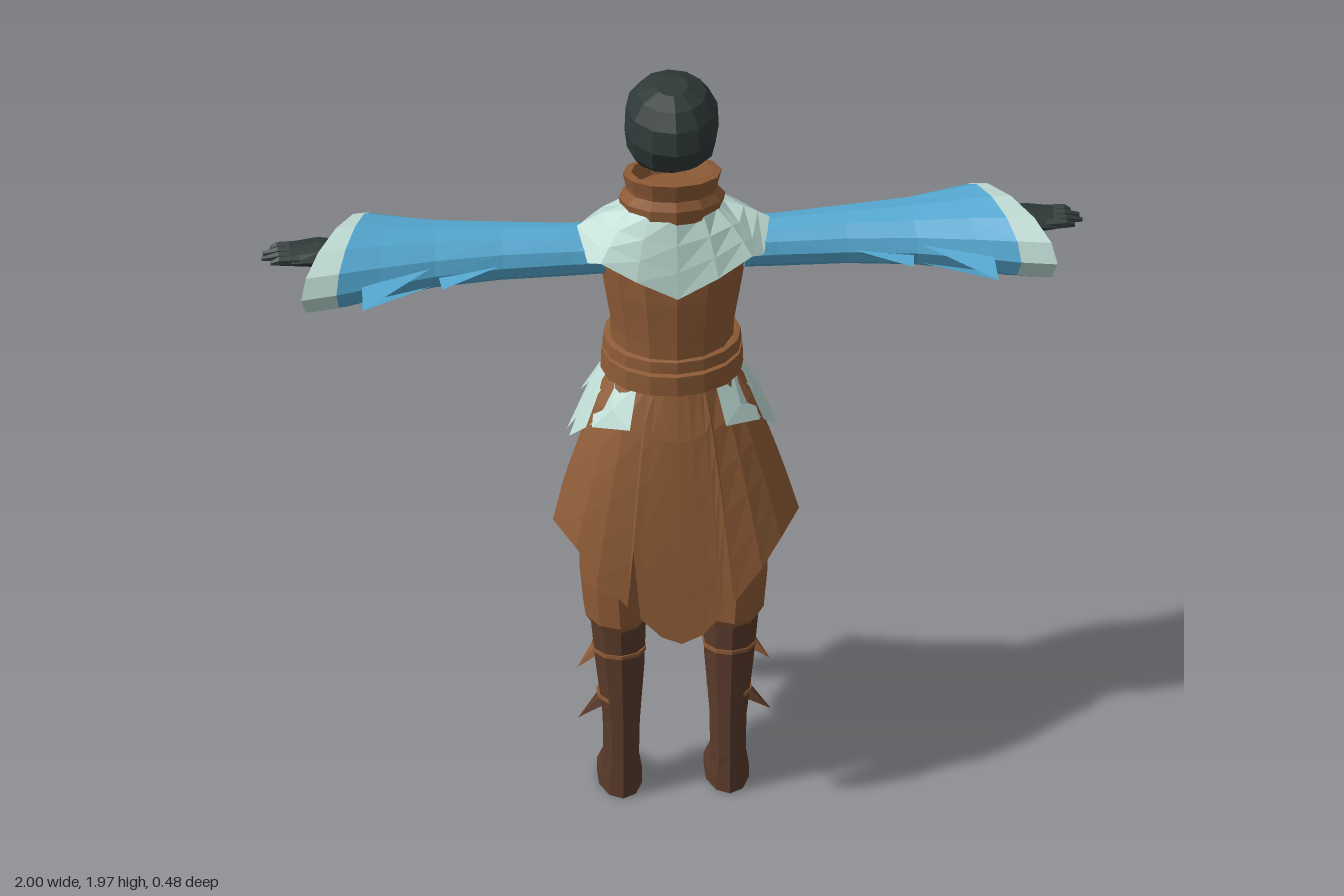
import * as THREE from 'three';

const mat = (name, color) => {
  const m = new THREE.MeshStandardMaterial({ color, flatShading: true, side: THREE.DoubleSide });
  m.name = name;
  return m;
};

export function createModel() {
  const brown = mat('brown cloth', 0x8f5c37);
  const blue = mat('blue cloth', 0x55a9d2);
  const pale = mat('pale cloth', 0xbedbd3);
  const dark = mat('dark hood', 0x2f3a38);
  const leather = mat('dark leather', 0x5a3b2b);
  const model = new THREE.Group();

  const add = (name, geo, material, parent = model) => {
    const m = new THREE.Mesh(geo, material);
    m.name = name;
    parent.add(m);
    return m;
  };

  // Surface through rows of [x, y, z] points
  function grid(rows, closed = false, caps = false) {
    const n = rows[0].length, pos = rows.flat(2), idx = [];
    for (let i = 0; i < rows.length - 1; i++) {
      for (let j = 0; j < (closed ? n : n - 1); j++) {
        const k = (j + 1) % n, a = i * n + j, b = i * n + k;
        idx.push(a, b, b + n, a, b + n, a + n);
      }
    }
    if (caps) {
      const t = (rows.length - 1) * n;
      for (let j = 1; j < n - 1; j++) idx.push(0, j + 1, j, t, t + j, t + j + 1);
    }
    const g = new THREE.BufferGeometry();
    g.setAttribute('position', new THREE.Float32BufferAttribute(pos, 3));
    g.setIndex(idx);
    const flat = g.toNonIndexed();
    flat.computeVertexNormals();
    return flat;
  }
  const circle = (n, f) => Array.from({ length: n }, (_, i) => f(Math.sin(i / n * Math.PI * 2), Math.cos(i / n * Math.PI * 2)));
  // Upright loft: sections [y, cx, cz, rx, rz, tilt]
  const loftY = (secs, n = 10, caps = true) => grid(secs.map(([y, cx, cz, rx, rz, tilt = 0]) =>
    circle(n, (s, c) => [cx + s * rx, y + tilt * c * rz, cz + c * rz])), true, caps);
  // Sideways loft: sections [x, cy, cz, ry, rz, shear]
  const loftX = (secs, n = 10, caps = false) => grid(secs.map(([x, cy, cz, ry, rz, shear = 0]) =>
    circle(n, (s, c) => [x + shear * (cz + s * rz), cy + c * ry, cz + s * rz])), true, caps);
  // Flat pointed piece from outline points, fanned from the first
  function plate(pts) {
    const pos = [];
    for (let i = 1; i < pts.length - 1; i++) pos.push(...pts[0], ...pts[i], ...pts[i + 1]);
    const g = new THREE.BufferGeometry();
    g.setAttribute('position', new THREE.Float32BufferAttribute(pos, 3));
    g.computeVertexNormals();
    return g;
  }
  // Cloth hanging from an oval ring down to hem points
  function drape(hem, top, closed = false, steps = 5) {
    const rows = [];
    for (let i = 0; i <= steps; i++) {
      const t = 1 - i / steps, h = Math.pow(t, 0.75);
      rows.push(hem.map(([x, y, z]) => {
        const a = Math.atan2(x / top.rx, (z - top.cz) / top.rz);
        const tx = Math.sin(a) * top.rx, tz = top.cz + Math.cos(a) * top.rz;
        const ty = top.y + top.tilt * (tz - top.cz);
        return [tx + (x - tx) * h, ty + (y - ty) * t, tz + (z - tz) * h];
      }));
    }
    return grid(rows, closed);
  }
  const flip = pts => pts.map(([x, y, z]) => [-x, y, z]).reverse();

  // Head and collar
  add('head', loftY([[1.69, 0, -0.13, 0.05, 0.04], [1.72, 0, -0.1, 0.085, 0.08], [1.78, 0, -0.055, 0.108, 0.122],
    [1.84, 0, -0.042, 0.115, 0.14], [1.9, 0, -0.045, 0.112, 0.133], [1.942, 0, -0.04, 0.085, 0.1],
    [1.966, 0, -0.03, 0.04, 0.05]], 12), dark);
  add('collar', loftY([[1.58, 0, -0.035, 0.12, 0.125, 0.15], [1.65, 0, -0.033, 0.13, 0.13, 0.22], [1.672, 0, -0.03, 0.112, 0.115, 0.25],
    [1.68, 0, -0.03, 0.112, 0.118, 0.25], [1.722, 0, -0.025, 0.121, 0.128, 0.27], [1.725, 0, -0.025, 0.1, 0.108, 0.27],
    [1.68, 0, -0.03, 0.085, 0.09, 0.25]], 12), brown);

  // Torso and belt
  add('torso', loftY([[1.0, 0, -0.035, 0.16, 0.13], [1.16, 0, -0.035, 0.15, 0.14], [1.3, 0, -0.035, 0.152, 0.142],
    [1.42, 0, -0.033, 0.172, 0.143], [1.53, 0, -0.03, 0.188, 0.135], [1.58, 0, -0.03, 0.165, 0.11], [1.62, 0, -0.03, 0.11, 0.09]], 14), brown);
  for (const [name, y, h, r] of [['lowerBelt', 1.16, 0.06, 0], ['upperBelt', 1.222, 0.038, -0.004]]) {
    add(name, loftY([[y, 0, -0.035, 0.16, 0.142], [y + 0.003, 0, -0.035, 0.174 + r, 0.153 + r],
      [y + h - 0.003, 0, -0.035, 0.172 + r, 0.153 + r], [y + h, 0, -0.035, 0.155, 0.142]], 16), brown);
  }

  // Shoulder mantle
  const yoke = [[0, 1.45, 0.13], [0.1, 1.5, 0.122], [0.185, 1.54, 0.092], [0.215, 1.53, 0.07], [0.235, 1.595, 0.0],
    [0.225, 1.54, -0.085], [0.15, 1.52, -0.145], [0.095, 1.4, -0.175], [0, 1.4, -0.188]];
  add('mantle', drape([...yoke, ...flip(yoke.slice(1, -1))], { rx: 0.125, rz: 0.122, cz: -0.033, y: 1.635, tilt: 0.2 }, true, 3), pale);

  // Long back panel: [y, z, half width]
  const strip = (secs, dz) => grid(secs.map(([y, z, w]) =>
    [-1, -0.5, 0, 0.5, 1].map(u => [u * w, y, z - dz + 2.6 * (u * w) ** 2])));
  add('backPanel', strip([[1.5, -0.172, 0.1], [1.4, -0.189, 0.092], [1.3, -0.19, 0.08], [1.2, -0.18, 0.072], [1.14, -0.19, 0.078],
    [1.0, -0.207, 0.09], [0.87, -0.222, 0.102], [0.81, -0.23, 0.095], [0.77, -0.237, 0.045]], 0), pale);
  add('backPanelInlay', strip([[1.43, -0.186, 0.04], [1.4, -0.189, 0.05], [1.37, -0.19, 0.038], [1.3, -0.19, 0.046], [1.2, -0.18, 0.044],
    [1.14, -0.19, 0.05], [1.0, -0.207, 0.056], [0.94, -0.213, 0.066], [0.84, -0.226, 0.064], [0.81, -0.23, 0.035]], 0.004), blue);

  // Skirt, long at the front and short at the back
  const waist = { rx: 0.152, rz: 0.145, cz: -0.035, y: 1.18, tilt: 0 };
  const frontHem = [[0.05, 0.55, 0.238], [0.1, 0.6, 0.23], [0.115, 0.78, 0.2], [0.13, 0.62, 0.208], [0.2, 0.7, 0.185],
    [0.25, 0.76, 0.145], [0.3, 0.8, 0.075], [0.27, 0.89, 0.035], [0.225, 1.0, 0.0]];
  add('frontSkirt', drape([...flip(frontHem), [0, 0.53, 0.242], ...frontHem], waist), brown);
  const backHem = [[0.21, 1.0, 0.01], [0.222, 0.94, -0.05], [0.205, 0.88, -0.12], [0.16, 0.84, -0.175], [0.08, 0.83, -0.192]];
  add('backSkirt', drape([...backHem, [0, 0.83, -0.195], ...flip(backHem)], waist), brown);

  for (const side of [1, -1]) {
    const half = new THREE.Group();
    half.name = side > 0 ? 'leftSide' : 'rightSide';
    half.scale.x = side;
    model.add(half);

    // Pointed hip leaves
    const leaves = [[52, 0.205, 1.06, 0.075], [76, 0.255, 1.0, 0.015], [98, 0.255, 0.98, -0.05], [124, 0.215, 1.04, -0.13]];
    for (const [deg, x, y, z] of leaves) {
      const at = (d, r) => {
        const a = (deg + d) * Math.PI / 180;
        return [Math.sin(a) * (0.155 + r), -0.035 + Math.cos(a) * (0.145 + r)];
      };
      const pt = (d, r, py) => { const [px, pz] = at(d, r); return [px, py, pz]; };
      add('hipLeaf', plate([pt(0, 0.045, 1.11), pt(-14, 0, 1.175), pt(-18, 0.055, 1.08), [x, y, z],
        pt(18, 0.055, 1.08), pt(14, 0, 1.175), pt(-14, 0, 1.175)]), pale, half);
    }

    // Sleeve, cuff border and lining
    const cuffIn = [0.775, 1.527, 0.002, 0.096, 0.155, 0.38], cuffOut = [0.82, 1.525, 0.005, 0.098, 0.165, 0.6];
    add('sleeve', loftX([[0.17, 1.52, -0.015, 0.06, 0.075], [0.25, 1.52, -0.012, 0.062, 0.07], [0.42, 1.522, -0.018, 0.066, 0.084],
      [0.58, 1.524, -0.015, 0.073, 0.105, 0.1], [0.7, 1.526, -0.008, 0.085, 0.135, 0.25], cuffIn], 12), blue, half);
    add('cuffBorder', loftX([cuffIn, cuffOut], 12), pale, half);
    add('cuffLining', loftX([[0.68, 1.525, -0.03, 0.025, 0.04], [0.75, 1.525, -0.01, 0.07, 0.11, 0.3], cuffOut], 12), pale, half);
    add('sleeveSpike', plate([[0.6, 1.545, 0.085], [0.775, 1.51, 0.205], [0.77, 1.535, 0.13]]), blue, half);
    add('sleeveSpike', plate([[0.6, 1.49, 0.08], [0.775, 1.51, 0.205], [0.77, 1.48, 0.12]]), blue, half);
    add('smallSpike', plate([[0.42, 1.53, 0.06], [0.575, 1.515, 0.135], [0.58, 1.52, 0.07]]), blue, half);

    // Hand
    add('palm', loftX([[0.68, 1.525, -0.04, 0.022, 0.03], [0.8, 1.525, -0.042, 0.027, 0.036], [0.86, 1.527, -0.043, 0.03, 0.05],
      [0.93, 1.525, -0.043, 0.02, 0.046]], 8, true), dark, half);
    [[-0.077, 0.975], [-0.055, 0.995], [-0.032, 1.0], [-0.01, 0.98]].forEach(([z, end]) =>
      add('finger', loftX([[0.91, 1.526, z, 0.015, 0.013], [0.96, 1.527, z, 0.013, 0.011], [end, 1.522, z, 0.006, 0.006]], 6, true), dark, half));
    add('thumb', loftX([[0.82, 1.51, -0.075, 0.014, 0.014], [0.88, 1.502, -0.085, 0.012, 0.012], [0.92, 1.5, -0.085, 0.005, 0.005]], 6, true), dark, half);

    // Trouser leg gathered over the boot
    add('trouserLeg', loftY([[0.47, 0.137, 0.015, 0.065, 0.08], [0.5, 0.139, 0.006, 0.082, 0.112], [0.6, 0.145, 0.004, 0.085, 0.117],
      [0.75, 0.14, -0.002, 0.09, 0.12], [0.9, 0.115, -0.018, 0.1, 0.128], [1.1, 0.085, -0.03, 0.085, 0.12]], 10), brown, half);

    // Boot with straps and outer fins
    add('boot', loftY([[0, 0.13, -0.007, 0.055, 0.104], [0.035, 0.13, -0.007, 0.055, 0.104], [0.065, 0.13, 0.012, 0.048, 0.085],
      [0.1, 0.13, 0.036, 0.044, 0.061], [0.2, 0.13, 0.037, 0.046, 0.06], [0.35, 0.133, 0.028, 0.061, 0.07], [0.49, 0.137, 0.025, 0.07, 0.077]], 10), leather, half);
    for (const [y, rx, rz] of [[0.395, 0.067, 0.076], [0.262, 0.056, 0.068]]) {
      add('bootStrap', loftY([[y, 0.134, 0.028, rx, rz, 0.1], [y + 0.01, 0.134, 0.028, rx, rz, 0.1]], 10), brown, half);
    }
    for (const [y, x, z, m] of [[0.33, 0.19, 0.012, brown], [0.2, 0.178, 0.035, leather]]) {
      const tip = [0.235, y, z];
      add('bootFin', plate([[x, y + 0.075, z - 0.018], tip, [x, y + 0.03, z], [x, y + 0.075, z + 0.018], tip]), m, half);
    }
  }
  return model;
}
